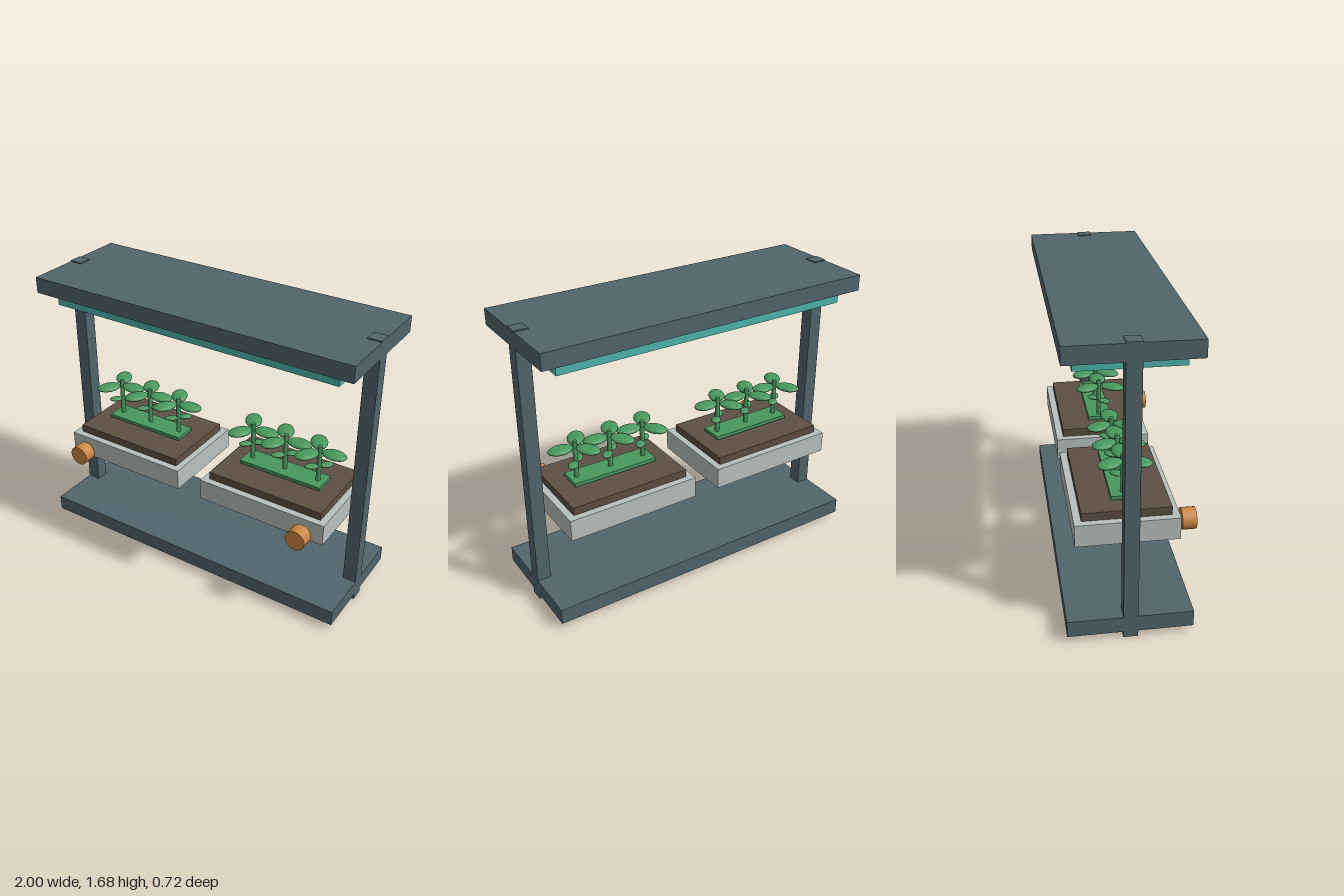
import * as THREE from 'three';

const mat = (name, color) => {
  const m = new THREE.MeshStandardMaterial({ color });
  m.name = name;
  return m;
};

export function createModel() {
  const slate = mat('slate', 0x50656c);
  const teal = mat('teal', 0x4db6ac);
  const stone = mat('pale grey', 0xb8c1bd);
  const brown = mat('soil brown', 0x5e4f43);
  const green = mat('leaf green', 0x48995f);
  const copper = mat('copper', 0xcb8641);

  const model = new THREE.Group();
  model.name = 'plantRack';
  const Z = -0.02; // depth centre of the rack

  const add = (parent, name, geometry, material, x, y, z) => {
    const mesh = new THREE.Mesh(geometry, material);
    mesh.name = name;
    mesh.position.set(x, y, z);
    parent.add(mesh);
    return mesh;
  };
  // Box centred on x and z, given its bottom and top heights
  const slab = (parent, name, material, x, w, y0, y1, d) =>
    add(parent, name, new THREE.BoxGeometry(w, y1 - y0, d), material, x, (y0 + y1) / 2, Z);

  // Frame and lamp
  slab(model, 'bottomShelf', slate, 0, 2, 0.036, 0.13, 0.68);
  slab(model, 'topShelf', slate, 0, 2, 1.58, 1.674, 0.68);
  slab(model, 'lampPanel', teal, 0, 1.8, 1.507, 1.553, 0.56);
  for (const s of [-1, 1]) slab(model, 'post', slate, s * 0.96, 0.08, 0, 1.68, 0.08);

  // Shared plant geometry
  const stem = new THREE.CylinderGeometry(0.014, 0.014, 0.235, 12);
  const ball = new THREE.SphereGeometry(1, 16, 10);

  // Flat oval leaf pointing away from the stem
  const leaf = (plant, name, angle, y, dist, a, h, b) => {
    const m = add(plant, name, ball, green, Math.cos(angle) * dist, y, -Math.sin(angle) * dist);
    m.scale.set(a, h, b);
    m.rotation.y = angle;
  };

  const makePlant = (x) => {
    const plant = new THREE.Group();
    plant.name = 'plant';
    plant.position.set(x, 0, Z);
    add(plant, 'stem', stem, green, 0, 0.8275, 0);
    for (let i = 0; i < 3; i++)
      leaf(plant, 'upperLeaf', (i * Math.PI * 2) / 3, 0.914, 0.088, 0.075, 0.02, 0.05);
    for (let i = 0; i < 2; i++)
      leaf(plant, 'lowerLeaf', Math.PI / 4 + i * Math.PI, 0.814, 0.042, 0.042, 0.011, 0.028);
    return plant;
  };

  // Two planters with knobs at their outer front ends
  for (const s of [-1, 1]) {
    const planter = new THREE.Group();
    planter.name = s > 0 ? 'leftPlanter' : 'rightPlanter';
    const x = s * 0.48;
    slab(planter, 'tray', stone, x, 0.8, 0.515, 0.643, 0.56);
    slab(planter, 'soil', brown, x, 0.72, 0.643, 0.69, 0.48);
    slab(planter, 'sproutBed', green, x, 0.52, 0.696, 0.717, 0.14);
    for (let i = -1; i <= 1; i++) planter.add(makePlant(x + i * 0.215));
    const knob = add(planter, 'knob', new THREE.CylinderGeometry(0.06, 0.06, 0.078, 24),
      copper, s * 0.76, 0.562, 0.322);
    knob.rotation.x = Math.PI / 2;
    model.add(planter);
  }
  return model;
}
